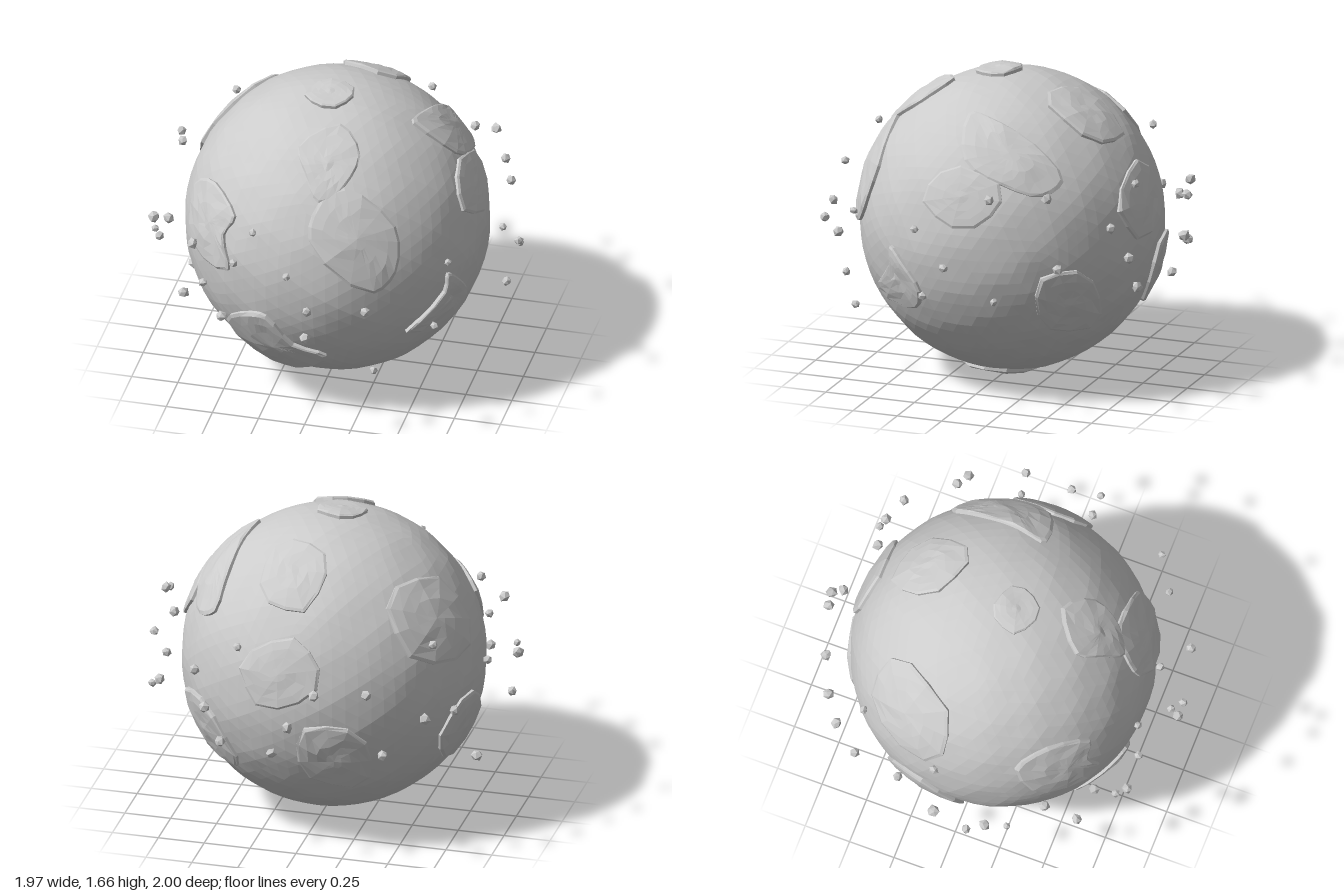
import * as THREE from 'three';

const R = 0.805;
const CENTRE = new THREE.Vector3(-0.01, 0.833, -0.01);

// Facing directions [azimuth, elevation] from which land outlines are laid out
const FRONT = [0, 0], SIDE = [90, 0], TOP = [0, 90], BOTTOM = [0, -90], BACK = [212, 24];

const material = () => new THREE.MeshStandardMaterial({ color: 0xcccccc, flatShading: true });

// Smooth bumps that depend only on direction
const bump = (d) => Math.sin(d.x * 11 + d.y * 5) * Math.sin(d.y * 13 - d.z * 4) * Math.cos(d.z * 12 + d.x * 3);

// Roundish outline: tilted ellipse with a slight wobble
function blob(u, v, ru, rv, tilt = 0) {
  return Array.from({ length: 11 }, (_, i) => {
    const a = (i / 11) * Math.PI * 2, k = 1 + 0.06 * Math.sin(i * 2.4 + u * 20);
    const x = Math.cos(a) * ru * k, y = Math.sin(a) * rv * k;
    return [u + x * Math.cos(tilt) - y * Math.sin(tilt), v + x * Math.sin(tilt) + y * Math.cos(tilt)];
  });
}

// Irregular outline: closed curve through a few anticlockwise points
function coast(...points) {
  const curve = new THREE.CatmullRomCurve3(points.map(([u, v]) => new THREE.Vector3(u, v, 0)), true);
  return curve.getPoints(points.length * 3).slice(0, -1).map((p) => [p.x, p.y]);
}

// Turns a flat outline point into a unit direction on the globe
function toDirection([az, el], [u, v]) {
  const a = THREE.MathUtils.degToRad(az), e = THREE.MathUtils.degToRad(el);
  const right = new THREE.Vector3(Math.cos(a), 0, -Math.sin(a));
  const up = new THREE.Vector3(-Math.sin(e) * Math.sin(a), Math.cos(e), -Math.sin(e) * Math.cos(a));
  const depth = Math.sqrt(Math.max(0, 0.82 ** 2 - u * u - v * v));
  return right.clone().multiplyScalar(u).addScaledVector(up, v)
    .addScaledVector(right.cross(up), depth).normalize();
}

// Raised plate: rings shrinking to the middle, plus a wall sunk into the globe
function landGeometry(facing, outline) {
  const edge = outline.map((p) => toDirection(facing, p));
  const mid = edge.reduce((s, d) => s.add(d), new THREE.Vector3()).normalize();
  const n = edge.length, positions = [], index = [];
  const put = (d, r) => positions.push(d.x * r, d.y * r, d.z * r);
  edge.forEach((d) => put(d, R - 0.02));
  const rings = [1, 0.93, 0.7, 0.45, 0.2];
  rings.forEach((t, k) => edge.forEach((e) => {
    const d = mid.clone().lerp(e, t).normalize();
    put(d, k === 0 ? R + 0.016 : R + 0.022 + 0.007 * bump(d.clone().multiplyScalar(1.6)));
  }));
  put(mid, R + 0.025);
  for (let k = 0; k < rings.length; k++) {
    for (let i = 0; i < n; i++) {
      const a = k * n + i, b = k * n + (i + 1) % n;
      index.push(a, b, b + n, a, b + n, a + n);
    }
  }
  const last = rings.length * n;
  for (let i = 0; i < n; i++) index.push(last + i, last + (i + 1) % n, last + n);
  const g = new THREE.BufferGeometry();
  g.setAttribute('position', new THREE.Float32BufferAttribute(positions, 3));
  g.setIndex(index);
  g.computeVertexNormals();
  return g;
}

// Moves each vertex along its own direction by a rule
function displace(g, rule) {
  const p = g.attributes.position, v = new THREE.Vector3();
  for (let i = 0; i < p.count; i++) {
    v.fromBufferAttribute(p, i).normalize();
    v.multiplyScalar(rule(v));
    p.setXYZ(i, v.x, v.y, v.z);
  }
  g.computeVertexNormals();
  return g;
}

export function createModel() {
  const model = new THREE.Group();
  model.name = 'planet';

  // Globe
  const globe = new THREE.Group();
  globe.name = 'globe';
  globe.position.copy(CENTRE);
  model.add(globe);
  const ocean = new THREE.Mesh(displace(new THREE.IcosahedronGeometry(R, 12), (d) => R + 0.005 * bump(d)), material());
  ocean.name = 'ocean';
  globe.add(ocean);

  // Raised lands
  const addLand = (name, facing, outline) => {
    const land = new THREE.Mesh(landGeometry(facing, outline), material());
    land.name = name;
    globe.add(land);
  };
  addLand('northFrontLand', FRONT, coast([.06, .48], [.18, .55], [.23, .66], [.09, .76], [-.1, .68], [-.03, .585]));
  addLand('frontLand', FRONT, coast([.03, .31], [.38, .01], [.48, .11], [.46, .35], [.18, .55], [.06, .48]));
  addLand('frontRightLand', FRONT, coast([-.66, .02], [-.42, .02], [-.46, .2], [-.4, .32], [-.55, .4], [-.69, .3]));
  addLand('southFrontLand', FRONT,
    coast([-.24, -.65], [-.02, -.6], [.11, -.44], [-.06, -.37], [-.2, -.19], [-.3, -.2], [-.46, -.36]));
  addLand('southLeftLand', SIDE, coast([-.56, -.31], [-.27, -.33], [-.23, -.22], [-.34, -.07], [-.42, 0], [-.43, -.11]));
  addLand('northLeftLand', SIDE,
    coast([-.02, .5], [.2, .4], [.42, .34], [.49, .4], [.315, .58], [.03, .69], [-.08, .69]));
  addLand('leftLand', SIDE, blob(0, .32, .22, .15));
  addLand('southBackLeftLand', SIDE, blob(.525, -.25, .14, .2));
  addLand('northBackLand', TOP, blob(.1, .45, .2, .17, -.8));
  addLand('northPoleLand', TOP, blob(-.02, -.08, .13, .12));
  addLand('southPoleLand', BOTTOM, blob(.06, .04, .24, .2));
  addLand('rightLand', BACK, blob(.355, .13, .27, .23, -.6));
  addLand('backLand', BACK, blob(-.48, -.05, .18, .19));
  addLand('southBackLand', BACK, blob(-.22, -.52, .23, .14, -.6));
  addLand('southRightLand', BACK, blob(.53, -.44, .2, .11, .85));

  // Belt of small angular rocks: bearings in degrees for each height
  const bands = {
    0.38: [27, 263],
    0.66: [-82, -46, -27, 3, 46, 82, 106, 156, 175, 211],
    0.84: [-76, -69, -33, 4, 22, 90, 126, 151, 181, 225, 236],
    1.02: [-57, -40, -22, -3, 51, 79, 145, 189, 206, 254],
    1.2: [-17, 104, 124, 160, 232, 265],
  };
  const belt = new THREE.Group();
  belt.name = 'rockBelt';
  model.add(belt);
  for (const [height, bearings] of Object.entries(bands)) {
    const y = Number(height), reach = 0.975 - 0.75 * (y - 0.84) ** 2;
    for (const bearing of bearings) {
      const a = THREE.MathUtils.degToRad(bearing);
      const size = 0.026 + 0.005 * Math.sin(bearing * 2.3);
      const shape = displace(new THREE.IcosahedronGeometry(size, 0),
        (d) => size * (1 + 0.25 * Math.sin(d.x * 7 + bearing) * Math.cos(d.y * 5 + d.z * 6 + bearing)));
      const rock = new THREE.Mesh(shape, material());
      rock.name = 'rock';
      rock.position.set(Math.sin(a) * reach, y, Math.cos(a) * reach);
      rock.rotation.set(bearing, bearing * 1.7, bearing * 0.6);
      belt.add(rock);
    }
  }
  return model;
}
